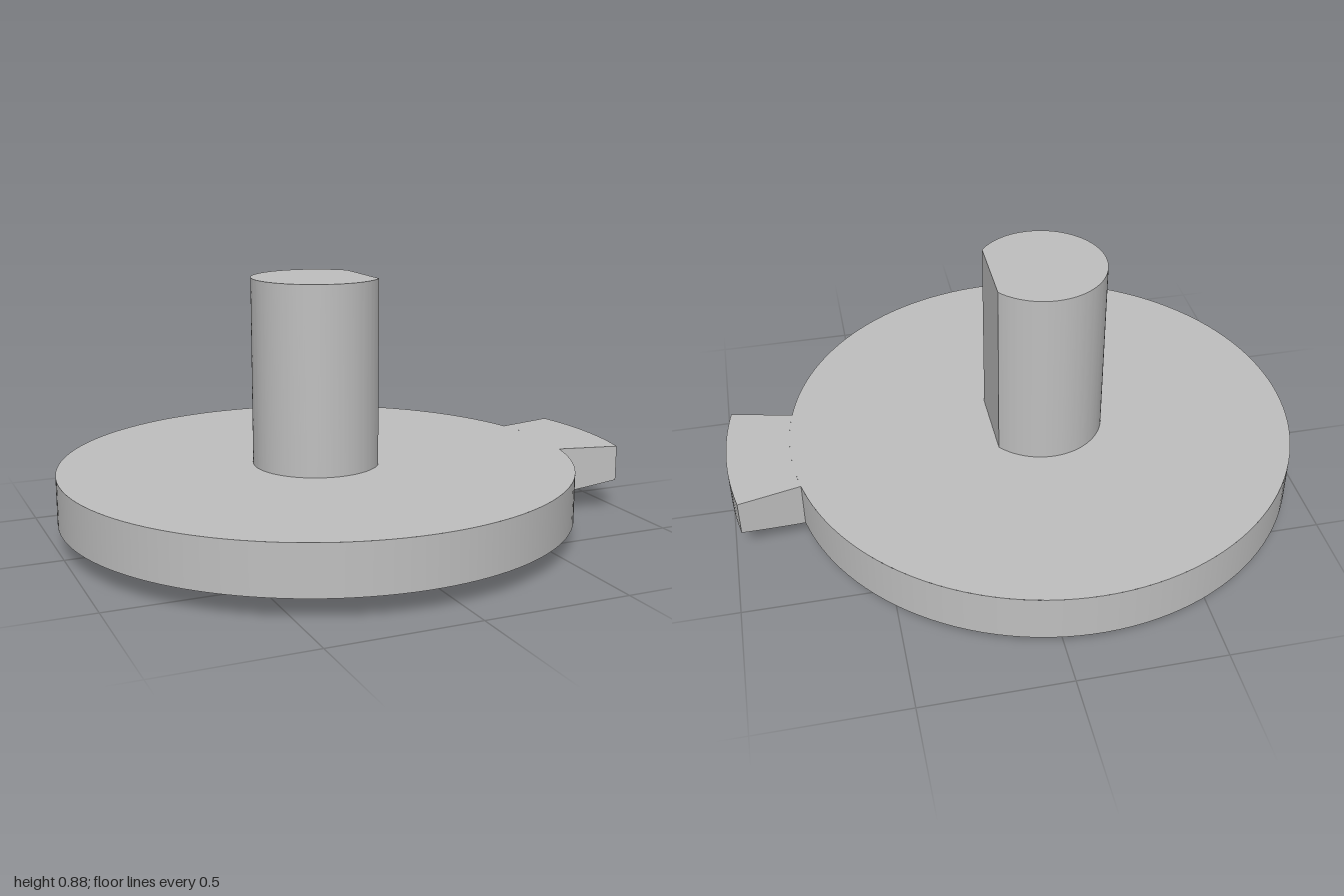
import * as THREE from 'three';
import { toCreasedNormals } from 'three/addons/utils/BufferGeometryUtils.js';

const DISC_R = 0.89, TAB_R = 1.11, TOP = 0.24;
const HALF = THREE.MathUtils.degToRad(12.75); // half angle of the tab
const DOME_R = 5.5;                           // curvature of the underside
const SHAFT_R = 0.22, SHAFT_FLAT = 0.175, SHAFT_TOP = 0.885;

const domeY = (r) => DOME_R - Math.sqrt(DOME_R * DOME_R - r * r);

export function createModel() {
  const metal = new THREE.MeshStandardMaterial({ color: 0xbfbfbf });
  metal.name = 'plain grey';

  const group = new THREE.Group();
  group.name = 'keyedDisc';
  const body = new THREE.Group();
  body.name = 'body';
  body.position.x = -0.11;
  group.add(body);

  const add = (name, geometry) => {
    const mesh = new THREE.Mesh(geometry, metal);
    mesh.name = name;
    body.add(mesh);
  };
  const turn = (name, points, segments, start = 0, sweep = Math.PI * 2) =>
    add(name, new THREE.LatheGeometry(points.map(([r, y]) => new THREE.Vector2(r, y)), segments, start, sweep));
  const dome = (r0, r1, n) =>
    Array.from({ length: n + 1 }, (_, i) => {
      const r = r0 + (r1 - r0) * i / n;
      return [r, domeY(r)];
    });

  // Disc: domed underside, rim open where the tab joins, flat top
  const tabStart = Math.PI / 2 - HALF, tabEnd = Math.PI / 2 + HALF;
  turn('discUnderside', dome(0, DISC_R, 12), 128);
  turn('discRim', [[DISC_R, domeY(DISC_R)], [DISC_R, TOP]], 120, tabEnd, Math.PI * 2 - 2 * HALF);
  turn('discTop', [[DISC_R, TOP], [0, TOP]], 128);

  // Tab: a sector continuing the disc outwards
  turn('tabUnderside', dome(DISC_R, TAB_R, 4), 12, tabStart, 2 * HALF);
  turn('tabRim', [[TAB_R, domeY(TAB_R)], [TAB_R, TOP]], 12, tabStart, 2 * HALF);
  turn('tabTop', [[TAB_R, TOP], [DISC_R, TOP]], 12, tabStart, 2 * HALF);

  // Tab sides
  const outline = [...dome(DISC_R, TAB_R, 4), [TAB_R, TOP], [DISC_R, TOP]];
  for (const side of [1, -1]) {
    const wall = new THREE.ShapeGeometry(new THREE.Shape(outline.map(([x, y]) => new THREE.Vector2(x, y))));
    if (side < 0) {
      wall.setIndex(Array.from(wall.index.array).reverse());
      wall.computeVertexNormals();
    }
    wall.rotateY(-side * HALF);
    add(side > 0 ? 'tabFrontSide' : 'tabBackSide', wall);
  }

  // Shaft with one flat facing the tab
  const a = Math.acos(SHAFT_FLAT / SHAFT_R);
  const section = new THREE.Shape();
  section.absarc(0, 0, SHAFT_R, a, Math.PI * 2 - a, false);
  section.closePath();
  const shaft = new THREE.ExtrudeGeometry(section, { depth: SHAFT_TOP - 0.2, bevelEnabled: false, curveSegments: 64 });
  shaft.rotateX(-Math.PI / 2);
  shaft.translate(0, 0.2, 0);
  add('shaft', toCreasedNormals(shaft, 0.4));

  return group;
}
